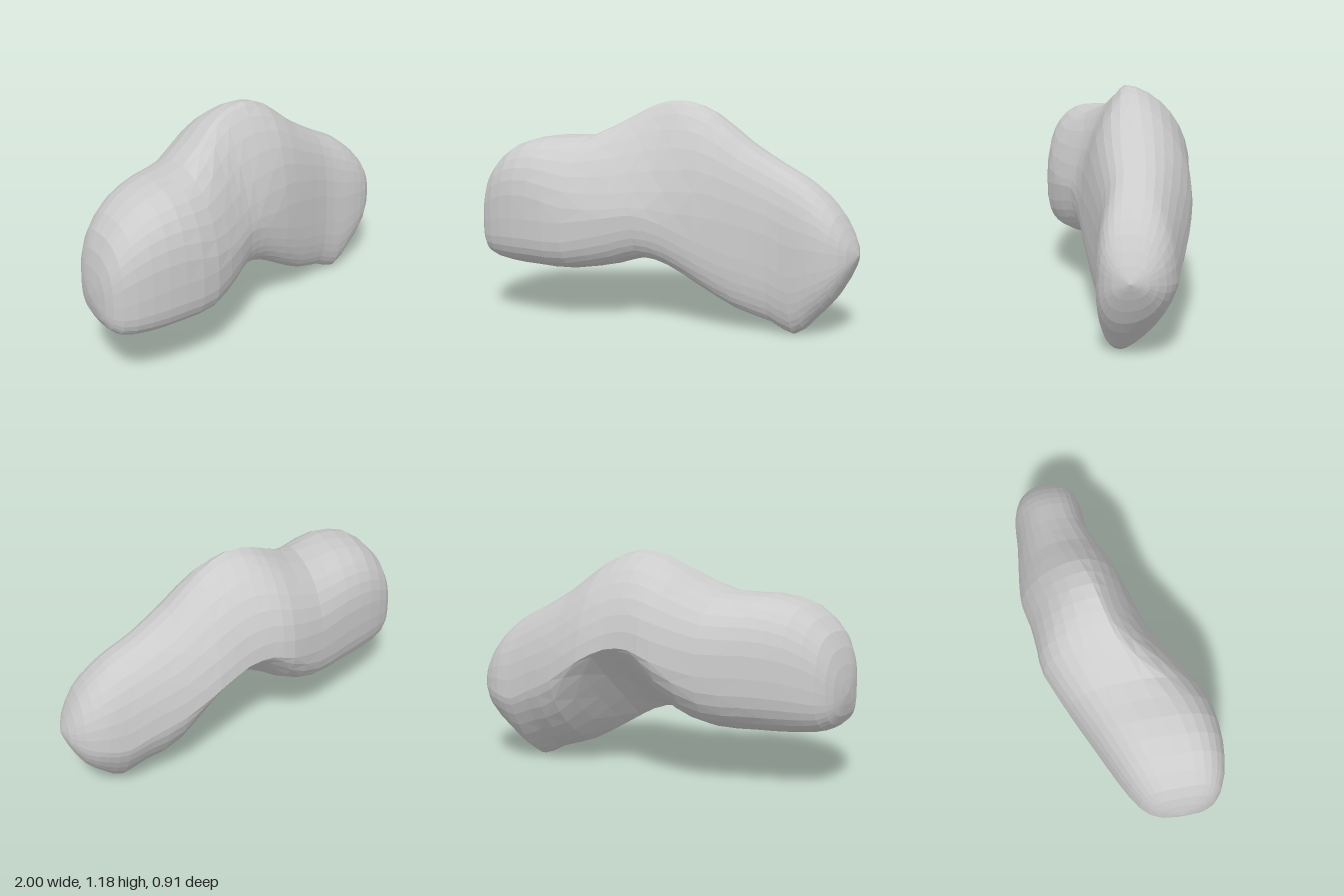
import * as THREE from 'three';

// Extents of the cross-sections along the body: x, topY, bottomY, frontZ, backZ
const SECTIONS = [
  [-1.0, 0.51, 0.51, 0.20, 0.20],
  [-0.98, 0.65, 0.39, 0.33, 0.08],
  [-0.92, 0.81, 0.315, 0.41, -0.01],
  [-0.78, 0.935, 0.29, 0.45, -0.10],
  [-0.6, 0.98, 0.285, 0.455, -0.19],
  [-0.4, 0.99, 0.283, 0.42, -0.29],
  [-0.2, 1.10, 0.315, 0.31, -0.39],
  [-0.08, 1.16, 0.35, 0.23, -0.405],
  [0.06, 1.18, 0.315, 0.17, -0.42],
  [0.22, 1.12, 0.22, 0.115, -0.45],
  [0.4, 0.98, 0.115, 0.045, -0.45],
  [0.58, 0.87, 0.055, -0.02, -0.435],
  [0.7, 0.81, 0.0, -0.035, -0.43],
  [0.8, 0.74, 0.085, -0.045, -0.425],
  [0.9, 0.635, 0.205, -0.075, -0.39],
  [0.97, 0.51, 0.345, -0.145, -0.32],
  [1.0, 0.43, 0.43, -0.235, -0.235],
];
const AROUND = 32;
const STEPS = (SECTIONS.length - 1) * 2;
const { lerp, smoothstep } = THREE.MathUtils;
const bump = (x, centre, width) => Math.exp(-(((x - centre) / width) ** 2));

// Smooth lengthwise curve through one pair of extents
function rail(column) {
  const points = SECTIONS.map((s) => new THREE.Vector3(s[0], s[column], s[column + 1]));
  return new THREE.CatmullRomCurve3(points, false, 'catmullrom', 0.5);
}

// Superellipse power of each quarter: below 1 is boxy, 1 is round, 2 is a straight cut
function quarterPower(x, isFront, isUpper) {
  const right = smoothstep(x, -0.5, 0.2);
  if (isFront && isUpper) return 0.7 + 0.9 * bump(x, -0.1, 0.3);
  if (isFront) return 0.58 + 0.25 * right;
  if (isUpper) return 0.75 + 0.15 * right + 0.25 * bump(x, 0.15, 0.3);
  return 0.75 + 0.15 * right + 1.1 * bump(x, 0.08, 0.3) + 0.5 * bump(x, 0.7, 0.2);
}

// Ring of four quarter superellipses; the middle leans forward over an undercut back
function ringPoint(x, top, bottom, front, back, angle) {
  const c = Math.cos(angle), s = Math.sin(angle);
  const sideY = lerp(bottom, top, c >= 0 ? 0.4 - 0.12 * bump(x, 0.1, 0.35) : 0.45);
  const lean = s >= 0 ? 0.04 * bump(x, 0.15, 0.6) : 0.15 * bump(x, 0.2, 0.65);
  const taper = Math.min(1, (front - back) / 0.35);
  const capZ = (front + back) / 2 + lean * taper;
  const power = quarterPower(x, c >= 0, s >= 0);
  return [
    x,
    lerp(sideY, s >= 0 ? top : bottom, Math.abs(s) ** power),
    lerp(capZ, c >= 0 ? front : back, Math.abs(c) ** power),
  ];
}

function bodyGeometry() {
  const heights = rail(1), depths = rail(3);
  const positions = [];
  const index = [];

  for (let i = 0; i <= STEPS; i++) {
    const h = heights.getPoint(i / STEPS), d = depths.getPoint(i / STEPS);
    for (let j = 0; j < AROUND; j++) {
      const angle = (j / AROUND) * Math.PI * 2;
      positions.push(...ringPoint(h.x, h.y, h.z, d.y, d.z, angle));
    }
  }

  // Skin neighbouring rings, alternating the diagonal for a faceted look; single triangles at the poles
  for (let i = 0; i < STEPS; i++) {
    for (let j = 0; j < AROUND; j++) {
      const a = i * AROUND + j, b = i * AROUND + ((j + 1) % AROUND);
      const c = a + AROUND, d = b + AROUND;
      if (i === 0) index.push(a, c, d);
      else if (i === STEPS - 1) index.push(a, c, b);
      else if ((i + j) % 2) index.push(a, c, b, b, c, d);
      else index.push(a, c, d, a, d, b);
    }
  }

  const geometry = new THREE.BufferGeometry();
  geometry.setAttribute('position', new THREE.Float32BufferAttribute(positions, 3));
  geometry.setIndex(index);
  geometry.computeVertexNormals();
  return geometry;
}

export function createModel() {
  const group = new THREE.Group();
  group.name = 'asteroid';
  const material = new THREE.MeshStandardMaterial({ color: 0xcccccc, flatShading: true });
  const body = new THREE.Mesh(bodyGeometry(), material);
  body.name = 'rockBody';
  group.add(body);
  return group;
}
